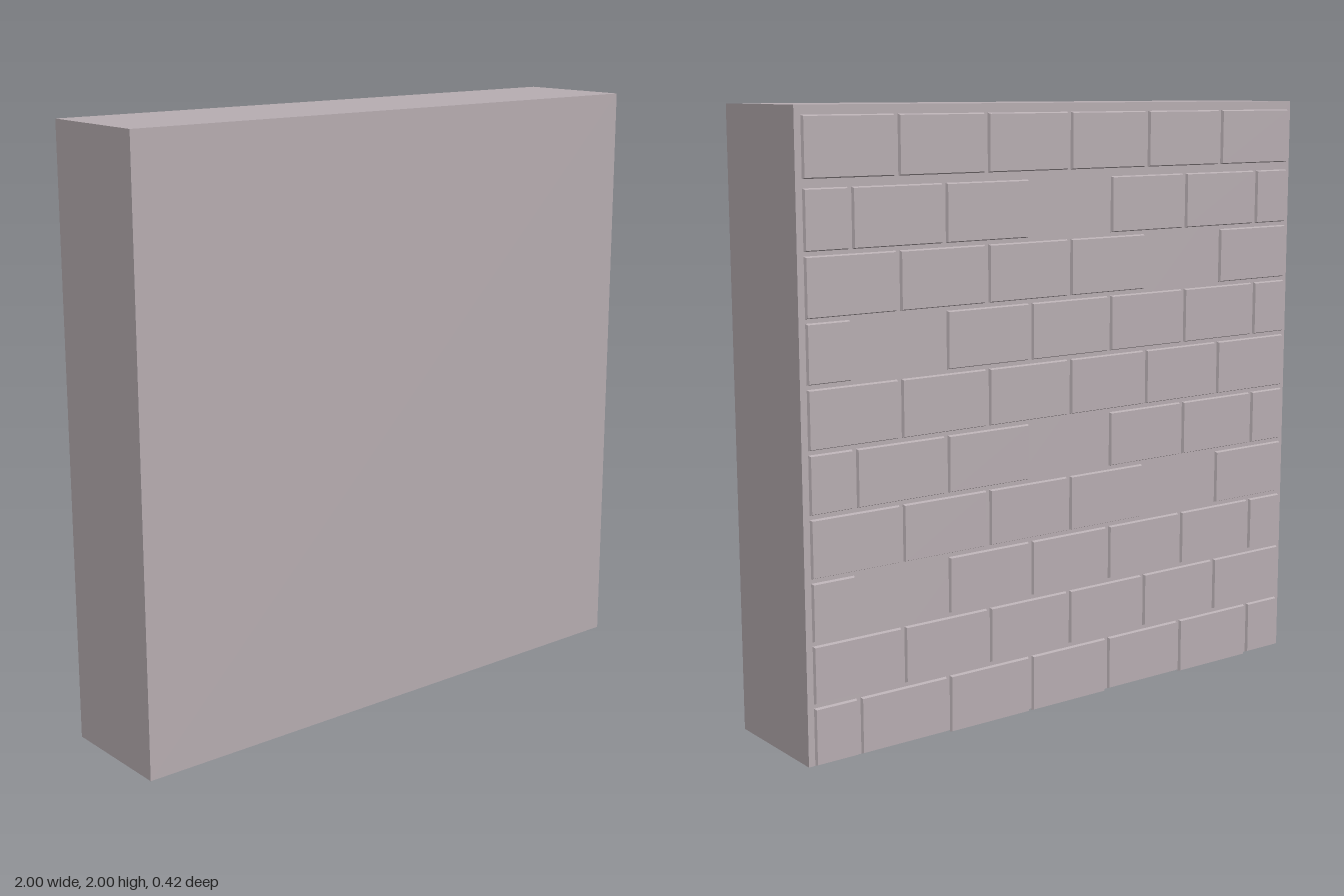
import * as THREE from 'three';

const material = new THREE.MeshStandardMaterial({ color: 0xb8aeb2, flatShading: true });

// Box between two corners
function block(name, x0, x1, y0, y1, z0, z1) {
  const geo = new THREE.BoxGeometry(x1 - x0, y1 - y0, z1 - z0);
  geo.translate((x0 + x1) / 2, (y0 + y1) / 2, (z0 + z1) / 2);
  const mesh = new THREE.Mesh(geo, material);
  mesh.name = name;
  return mesh;
}

// Brick whose outer (-z) face is pulled in for a small bevel
function brick(x0, x1, y0, y1) {
  const mesh = block('brick', x0, x1, y0, y1, -0.21, -0.199);
  const p = mesh.geometry.attributes.position;
  const bevel = 0.004, cx = (x0 + x1) / 2, cy = (y0 + y1) / 2;
  for (let i = 0; i < p.count; i++) {
    if (p.getZ(i) > -0.205) continue;
    p.setX(i, p.getX(i) - Math.sign(p.getX(i) - cx) * bevel);
    p.setY(i, p.getY(i) - Math.sign(p.getY(i) - cy) * bevel);
  }
  mesh.geometry.computeVertexNormals();
  return mesh;
}

export function createModel() {
  const wall = new THREE.Group();
  wall.name = 'brickWall';

  // Wall core and the thin plain facing on the front
  wall.add(block('wallCore', -1, 1, 0.006, 2, -0.2, 0.205));
  wall.add(block('frontFacing', -1, 1, 0.006, 2, 0.205, 0.21));

  // Joint positions for full courses and for courses shifted by half a brick
  const fullJoints = [-0.99, -0.66, -0.33, -0.003, 0.325, 0.655, 0.985];
  const halfJoints = [-0.99, -0.83, -0.5, -0.172, 0.155, 0.485, 0.82, 0.985];

  // Bricks left out, as course (counted from the bottom) -> brick index from -x
  const missing = { 8: 3, 7: 1, 6: 5, 4: 3, 3: 1, 2: 5 };
  const sunken = [1, 3, 4];   // bottom bricks that reach the ground
  const gap = 0.007;

  const bricks = new THREE.Group();
  bricks.name = 'brickCourses';
  for (let row = 0; row < 10; row++) {
    const joints = row % 2 ? fullJoints : halfJoints;
    const y0 = row === 9 ? 1.788 : 0.006 + row * 0.1965;
    for (let i = 0; i < joints.length - 1; i++) {
      if (missing[row] === i) continue;
      const drop = row === 0 && sunken.includes(i) ? 0.006 : 0;
      bricks.add(brick(joints[i] + gap, joints[i + 1] - gap, y0 - drop, y0 + 0.184));
    }
  }
  wall.add(bricks);
  return wall;
}
